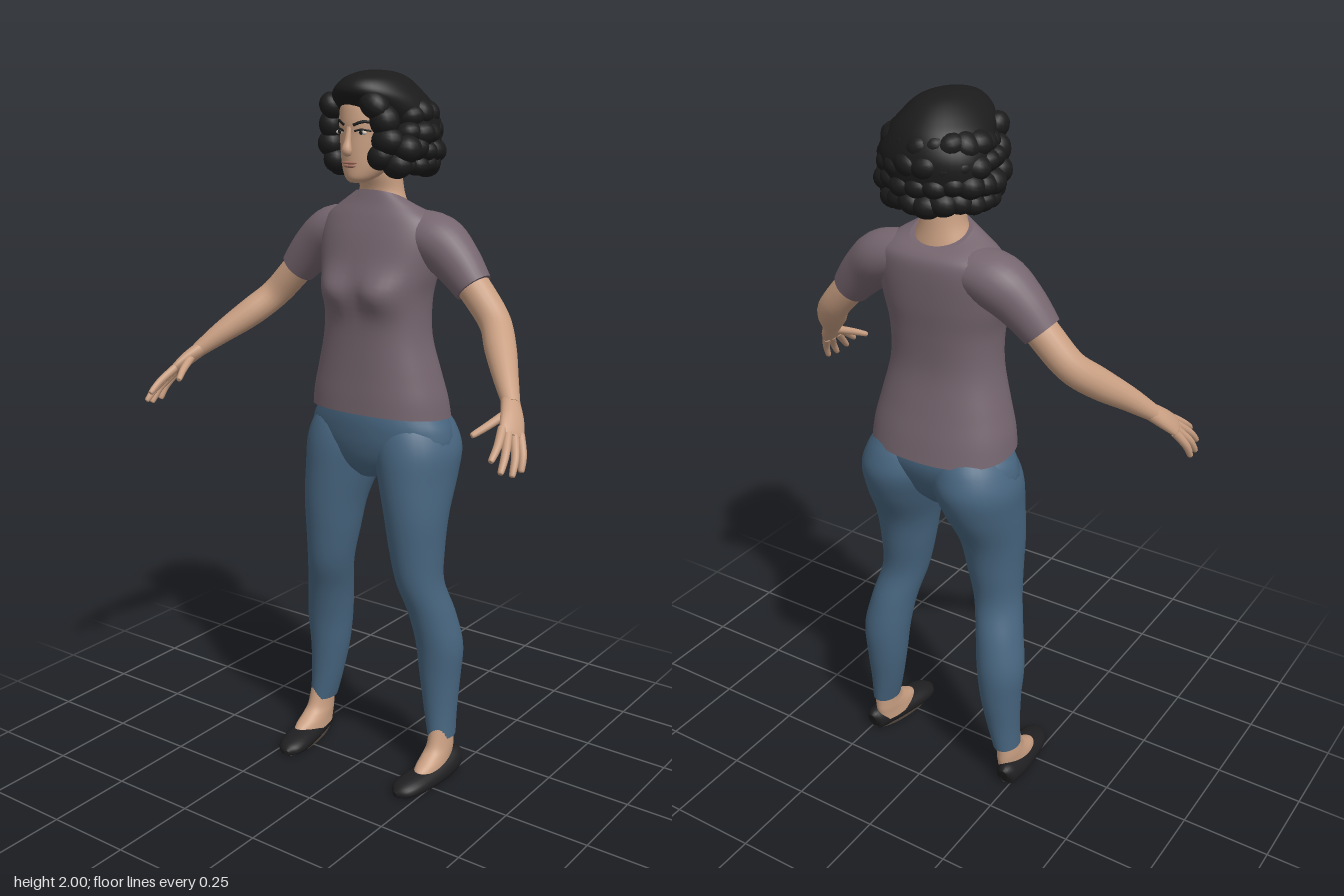
import * as THREE from 'three';
import { mergeGeometries } from 'three/addons/utils/BufferGeometryUtils.js';

const paint = (name, color) => {
  const m = new THREE.MeshStandardMaterial({ color });
  m.name = name;
  return m;
};

// Catmull-Rom through rows of numbers
function resample(keys, k = 5) {
  const out = [], last = keys.length - 1;
  for (let i = 0; i < last; i++) {
    const p0 = keys[Math.max(i - 1, 0)], p1 = keys[i], p2 = keys[i + 1], p3 = keys[Math.min(i + 2, last)];
    for (let s = 0; s < k; s++) {
      const t = s / k;
      out.push(p1.map((b, c) => 0.5 * (2 * b + (p2[c] - p0[c]) * t
        + (2 * p0[c] - 5 * b + 4 * p2[c] - p3[c]) * t * t
        + (3 * b - p0[c] - 3 * p2[c] + p3[c]) * t * t * t)));
    }
  }
  out.push(keys[last]);
  return out;
}

// Skin over closed rings of points, capped at both ends
function skinRings(rings, warp) {
  const n = rings[0].length, pos = [], idx = [];
  if (warp) rings.forEach(r => r.forEach(warp));
  const add = r => { const at = pos.length / 3; r.forEach(p => pos.push(p.x, p.y, p.z)); return at; };
  rings.forEach(add);
  for (let i = 0; i < rings.length - 1; i++) {
    for (let j = 0; j < n; j++) {
      const a = i * n + j, b = i * n + (j + 1) % n;
      idx.push(a, b, a + n, b, b + n, a + n);
    }
  }
  [rings[0], rings[rings.length - 1]].forEach((r, end) => {
    const c = r.reduce((s, p) => s.add(p), new THREE.Vector3()).divideScalar(n);
    const at = add(r), mid = add([c]);
    for (let j = 0; j < n; j++) {
      const a = at + j, b = at + (j + 1) % n;
      if (end) idx.push(mid, a, b); else idx.push(mid, b, a);
    }
  });
  const g = new THREE.BufferGeometry();
  g.setAttribute('position', new THREE.Float32BufferAttribute(pos, 3));
  g.setIndex(idx);
  g.computeVertexNormals();
  return g;
}

// Level cross-sections, bottom to top: [y, centre x, half width, front z, back z, front drop]
function stack(keys, { power = 1, warp, n = 32 } = {}) {
  const round = v => Math.sign(v) * Math.abs(v) ** power;
  return skinRings(resample(keys).map(([y, cx, rx, zf, zb, drop = 0]) => Array.from({ length: n }, (_, j) => {
    const a = j / n * Math.PI * 2, c = round(Math.cos(a)), s = round(Math.sin(a));
    return new THREE.Vector3(cx + rx * c, y + drop * s, (zf + zb) / 2 - (zf - zb) / 2 * s);
  })), warp);
}

// Sections along a path: [x, y, z, radius along u, radius across u]
function limb(keys, u = [0, 0, 1], { warp, n = 18 } = {}) {
  const rows = resample(keys), at = r => new THREE.Vector3(r[0], r[1], r[2]);
  return skinRings(rows.map((r, i) => {
    const t = at(rows[Math.min(i + 1, rows.length - 1)]).sub(at(rows[Math.max(i - 1, 0)])).normalize();
    const U = new THREE.Vector3(...u).addScaledVector(t, -t.dot(new THREE.Vector3(...u))).normalize();
    const V = new THREE.Vector3().crossVectors(t, U);
    return Array.from({ length: n }, (_, j) => {
      const a = j / n * Math.PI * 2;
      return at(r).addScaledVector(U, Math.cos(a) * r[3]).addScaledVector(V, Math.sin(a) * r[4]);
    });
  }), warp);
}

const blob = (x, y, z, rx, ry, rz, tilt = 0) =>
  new THREE.SphereGeometry(1, 16, 12).scale(rx, ry, rz).rotateZ(tilt).translate(x, y, z);

export function createModel() {
  const model = new THREE.Group();
  const skin = paint('skin', 0xc99f82), shirt = paint('mauve shirt', 0x75656e), denim = paint('blue denim', 0x47657f);
  const black = paint('black hair', 0x1b1b1c), leather = paint('black leather', 0x1f1e20);
  const sole = paint('brown sole', 0x51463d), lip = paint('lips', 0xa3705f), white = paint('eye white', 0xd6cbc2);
  const put = (name, geometry, material) => {
    const m = new THREE.Mesh(geometry, material);
    m.name = name;
    model.add(m);
    return m;
  };

  // Shirt body, with the bust pushed forward
  put('shirtBody', stack([
    [1.075, 0, 0.207, 0.04, -0.24, -0.015], [1.13, 0, 0.2, 0.038, -0.228, -0.008], [1.2, 0, 0.182, 0.034, -0.21],
    [1.3, 0, 0.158, 0.03, -0.192], [1.4, 0, 0.156, 0.03, -0.195], [1.48, 0, 0.172, 0.026, -0.203],
    [1.56, 0, 0.182, 0.008, -0.206], [1.61, 0, 0.17, -0.012, -0.202, -0.008], [1.64, 0, 0.13, -0.03, -0.188, -0.018],
    [1.662, 0, 0.082, -0.042, -0.17, -0.03],
  ].map(k => k.length < 6 ? [...k, 0] : k), {
    power: 0.85, n: 48,
    warp: p => {
      if (p.z > -0.08) p.z += 0.034 * Math.exp(-(((Math.abs(p.x) - 0.075) / 0.065) ** 2) - ((p.y - 1.425) / 0.05) ** 2) * Math.min(1, (p.z + 0.08) / 0.08);
    },
  }), shirt);

  // Pelvis
  put('trouserSeat', stack([
    [0.895, 0, 0.05, -0.02, -0.15], [0.94, 0, 0.165, 0.008, -0.19], [0.99, 0, 0.222, 0.022, -0.218],
    [1.04, 0, 0.221, 0.028, -0.232], [1.08, 0, 0.198, 0.028, -0.226], [1.12, 0, 0.17, 0.02, -0.2],
  ]), denim);

  // Neck and head
  put('neck', stack([
    [1.6, 0, 0.084, -0.04, -0.17, -0.01], [1.65, 0, 0.076, -0.043, -0.164, -0.022], [1.69, 0, 0.062, -0.04, -0.155, -0.01],
    [1.74, 0, 0.058, -0.025, -0.15, 0], [1.79, 0, 0.056, -0.02, -0.15, 0],
  ]), skin);
  put('head', stack([
    [1.716, 0, 0.02, 0.038, -0.01], [1.73, 0, 0.04, 0.049, -0.06], [1.76, 0, 0.06, 0.052, -0.12],
    [1.8, 0, 0.072, 0.054, -0.17], [1.84, 0, 0.077, 0.054, -0.18], [1.88, 0, 0.078, 0.056, -0.18],
    [1.93, 0, 0.07, 0.045, -0.17], [1.97, 0, 0.04, 0, -0.12],
  ]), skin);
  put('nose', limb([
    [0, 1.86, 0.052, 0.007, 0.005], [0, 1.825, 0.058, 0.009, 0.009], [0, 1.8, 0.063, 0.014, 0.013], [0, 1.788, 0.058, 0.01, 0.006],
  ], [1, 0, 0]), skin);
  put('upperLip', blob(0, 1.768, 0.052, 0.024, 0.004, 0.006), lip);
  put('lowerLip', blob(0, 1.76, 0.051, 0.019, 0.005, 0.007), lip);
  const faceZ = x => -0.0625 + 0.1175 * Math.sqrt(1 - (x / 0.078) ** 2);

  for (const s of [1, -1]) {
    const side = s > 0 ? 'left' : 'right';
    const flip = rows => rows.map(([x, ...r]) => [x * s, ...r]);
    const flipStack = rows => rows.map(([y, x, ...r]) => [y, x * s, ...r]);

    // Eye and brow
    put(side + 'EyeWhite', blob(s * 0.034, 1.845, faceZ(0.034), 0.015, 0.006, 0.005), white);
    put(side + 'Pupil', blob(s * 0.034, 1.846, faceZ(0.034) + 0.003, 0.006, 0.006, 0.004), black);
    put(side + 'Lashes', limb([0.018, 0.034, 0.052].map((x, i) =>
      [s * x, 1.849 + (i === 1 ? 0.004 : 0), faceZ(x) + 0.002, 0.003, 0.0025]), [0, 0, 1], { n: 8 }), black);
    put(side + 'Brow', limb([0.014, 0.038, 0.06].map((x, i) =>
      [s * x, [1.864, 1.873, 1.867][i], faceZ(x) + 0.001, 0.004, 0.004]), [0, 0, 1], { n: 8 }), black);

    // Sleeve and bare arm
    put(side + 'Sleeve', limb(flip([
      [0.08, 1.582, -0.112, 0.075, 0.06], [0.17, 1.56, -0.112, 0.078, 0.073],
      [0.235, 1.512, -0.106, 0.064, 0.066], [0.293, 1.45, -0.1, 0.052, 0.053],
    ]), [0, 0, 1], { n: 28 }), shirt);
    put(side + 'Arm', limb(flip([
      [0.25, 1.495, -0.102, 0.045, 0.046], [0.31, 1.432, -0.1, 0.045, 0.044], [0.37, 1.367, -0.085, 0.043, 0.042],
      [0.42, 1.313, -0.03, 0.042, 0.041], [0.475, 1.258, 0.035, 0.033, 0.032], [0.523, 1.208, 0.088, 0.024, 0.021],
    ])), skin);

    // Hand
    const across = [-0.025 * s, 0.02, 0.04];
    put(side + 'Palm', limb(flip([
      [0.515, 1.215, 0.08, 0.025, 0.021], [0.54, 1.187, 0.112, 0.033, 0.019],
      [0.558, 1.16, 0.142, 0.036, 0.014], [0.566, 1.149, 0.154, 0.028, 0.008],
    ]), across), skin);
    const digits = {
      Index: [[0.543, 1.168, 0.163], [0.558, 1.136, 0.21], [0.562, 1.11, 0.245]],
      Middle: [[0.555, 1.158, 0.156], [0.577, 1.117, 0.205], [0.585, 1.083, 0.238]],
      Ring: [[0.565, 1.15, 0.143], [0.59, 1.107, 0.179], [0.598, 1.07, 0.205]],
      Little: [[0.571, 1.148, 0.125], [0.594, 1.106, 0.15], [0.601, 1.072, 0.167]],
      Thumb: [[0.525, 1.192, 0.115], [0.506, 1.17, 0.168], [0.487, 1.152, 0.207]],
    };
    for (const [name, [a, b, c]] of Object.entries(digits)) {
      const tip = c.map((v, i) => v + (c[i] - b[i]) * 0.12);
      put(side + name + 'Finger', limb(flip([[...a, 0.012, 0.012], [...b, 0.0105, 0.0105], [...c, 0.008, 0.008], [...tip, 0.003, 0.003]]),
        across, { n: 10 }), skin);
    }

    // Trouser leg
    put(side + 'TrouserLeg', stack(flipStack([
      [0.12, 0.217, 0.037, -0.055, -0.155], [0.2, 0.207, 0.047, -0.058, -0.165], [0.3, 0.2, 0.059, -0.055, -0.18],
      [0.4, 0.197, 0.068, -0.045, -0.186], [0.5, 0.181, 0.066, -0.024, -0.17], [0.6, 0.158, 0.067, 0.006, -0.142],
      [0.7, 0.147, 0.077, 0.02, -0.153], [0.8, 0.14, 0.089, 0.029, -0.175], [0.9, 0.127, 0.106, 0.03, -0.225],
      [0.98, 0.117, 0.118, 0.025, -0.25], [1.04, 0.11, 0.104, 0.008, -0.238], [1.08, 0.105, 0.08, -0.02, -0.215],
    ])), denim);

    // Foot, flat shoe and sole
    put(side + 'Foot', stack(flipStack([
      [0.03, 0.22, 0.036, 0.045, -0.138], [0.055, 0.22, 0.035, 0.022, -0.142], [0.075, 0.22, 0.034, -0.012, -0.145],
      [0.1, 0.22, 0.033, -0.042, -0.145], [0.16, 0.217, 0.032, -0.06, -0.145],
    ])), skin);
    put(side + 'Shoe', limb(flip([
      [0.238, 0.032, -0.156, 0.012, 0.026], [0.237, 0.034, -0.142, 0.03, 0.036], [0.232, 0.026, -0.09, 0.04, 0.036],
      [0.222, 0.02, -0.02, 0.045, 0.034], [0.211, 0.018, 0.05, 0.045, 0.029], [0.203, 0.015, 0.09, 0.033, 0.021],
      [0.198, 0.013, 0.11, 0.008, 0.008],
    ]), [1, 0, 0], { n: 24, warp: p => { p.y = Math.max(p.y, 0.004); } }), leather);
    const base = put(side + 'Sole', new THREE.CylinderGeometry(1, 1, 0.008, 32).scale(0.038, 1, 0.122), sole);
    base.position.set(s * 0.218, 0.004, -0.022);
    base.rotation.y = -0.15 * s;
  }

  // Hair: smooth crown
  put('hairCrown', stack([
    [1.74, 0.01, 0.105, -0.06, -0.19], [1.79, 0.01, 0.14, -0.01, -0.225], [1.86, 0.01, 0.147, 0, -0.235],
    [1.915, 0.01, 0.13, 0.052, -0.218], [1.95, 0.012, 0.105, 0.077, -0.19], [1.98, 0.015, 0.073, 0.058, -0.15],
    [1.995, 0.012, 0.04, 0.01, -0.11], [2.0, 0.01, 0.01, -0.03, -0.06],
  ], { n: 40 }), black);

  // Hair: rows of curls round the sides and back
  let seed = 7;
  const rnd = () => (seed = (seed * 16807) % 2147483647) / 2147483647 - 0.5;
  const curls = [];
  [[1.757, 0.118, 0.11], [1.8, 0.132, 0.118], [1.845, 0.13, 0.116], [1.89, 0.113, 0.104]].forEach(([y, rx, rz], row) => {
    for (let i = 0; i < 13; i++) {
      const a = (62 + (i + (row % 2) * 0.5) * 18.9) * Math.PI / 180;
      const r = 0.036 + rnd() * 0.01;
      curls.push(blob(0.01 + rx * Math.sin(a), y + rnd() * 0.016, -0.09 + rz * Math.cos(a), r * 1.05, r * 0.85, r, rnd()));
    }
  });
  // Fringe swept over the left of the face, and locks framing the right
  [[0.068, 1.915, 0.036, 0.045, 0.035, 0.036, -0.6], [0.09, 1.875, 0.022, 0.04, 0.042, 0.038, 0.3],
    [0.1, 1.825, 0.022, 0.045, 0.038, 0.038, 0], [0.082, 1.785, 0.026, 0.038, 0.034, 0.034, 0.3],
    [0.115, 1.765, 0.0, 0.042, 0.036, 0.036, 0], [0.14, 1.805, -0.01, 0.038, 0.036, 0.04, 0],
    [-0.085, 1.91, 0.012, 0.032, 0.036, 0.036, 0.5], [-0.105, 1.86, -0.01, 0.032, 0.038, 0.034, 0],
    [-0.11, 1.81, -0.016, 0.036, 0.036, 0.036, 0], [-0.098, 1.768, -0.02, 0.032, 0.034, 0.034, 0],
  ].forEach(c => curls.push(blob(...c)));
  put('hairCurls', mergeGeometries(curls), black);

  return model;
}
